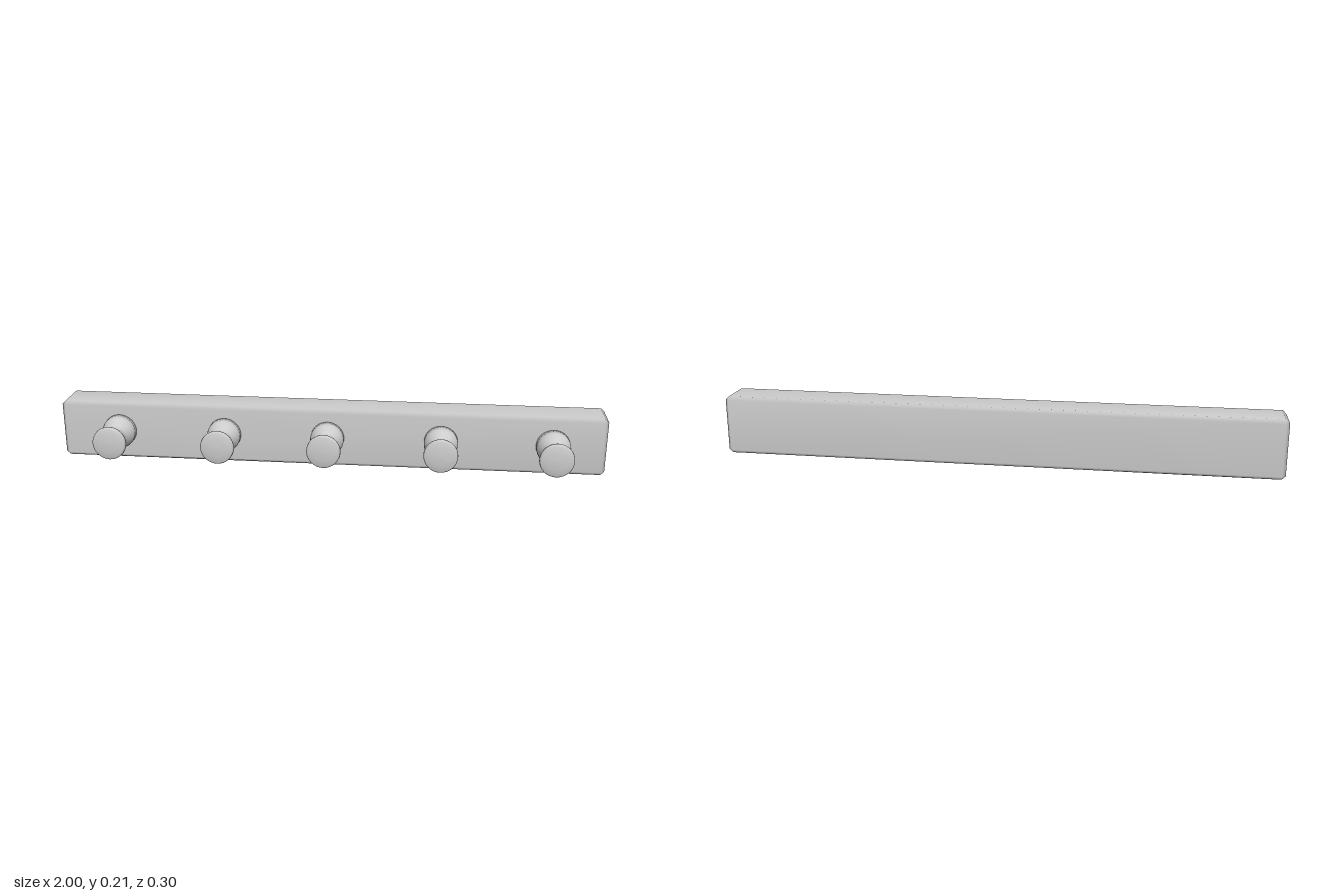
import * as THREE from 'three';
import { ConvexGeometry } from 'three/addons/geometries/ConvexGeometry.js';
import { mergeVertices } from 'three/addons/utils/BufferGeometryUtils.js';

// Box with bevelled edges and smooth normals shared across the bevels
function bevelledBox(w, h, d, bevel) {
  const points = [];
  for (const sx of [-1, 1]) for (const sy of [-1, 1]) for (const sz of [-1, 1]) {
    for (let axis = 0; axis < 3; axis++) {
      const inset = [bevel, bevel, bevel];
      inset[axis] = 0;
      points.push(new THREE.Vector3(
        sx * (w / 2 - inset[0]), sy * (h / 2 - inset[1]), sz * (d / 2 - inset[2])));
    }
  }
  const hull = new ConvexGeometry(points);
  hull.deleteAttribute('normal');
  const geometry = mergeVertices(hull);
  geometry.computeVertexNormals();
  return geometry;
}

export function createModel() {
  const model = new THREE.Group();
  model.name = 'pegRail';
  const material = new THREE.MeshStandardMaterial({ color: 0xcccccc });

  // Wall rail
  const rail = new THREE.Mesh(bevelledBox(2, 0.214, 0.145, 0.013), material);
  rail.name = 'rail';
  rail.position.set(0, 0.107, -0.0765);
  model.add(rail);

  // Turned peg: [radius, distance forward], from the rail to the domed cap
  const profile = [
    [0, -0.01], [0.061, -0.01], [0.061, 0.02], [0.058, 0.033], [0.049, 0.048],
    [0.041, 0.061], [0.0375, 0.069], [0.0375, 0.103], [0.041, 0.11], [0.054, 0.118],
    [0.059, 0.124], [0.061, 0.132], [0.06, 0.141], [0.055, 0.145], [0.03, 0.149], [0, 0.15],
  ].map(([r, z]) => new THREE.Vector2(r, z));
  const pegGeometry = new THREE.LatheGeometry(profile, 32).rotateX(Math.PI / 2);

  // Row of pegs
  [-0.78, -0.385, -0.003, 0.41, 0.81].forEach((x, i) => {
    const peg = new THREE.Mesh(pegGeometry, material);
    peg.name = `peg${i + 1}`;
    peg.position.set(x, 0.109, 0);
    model.add(peg);
  });

  return model;
}
